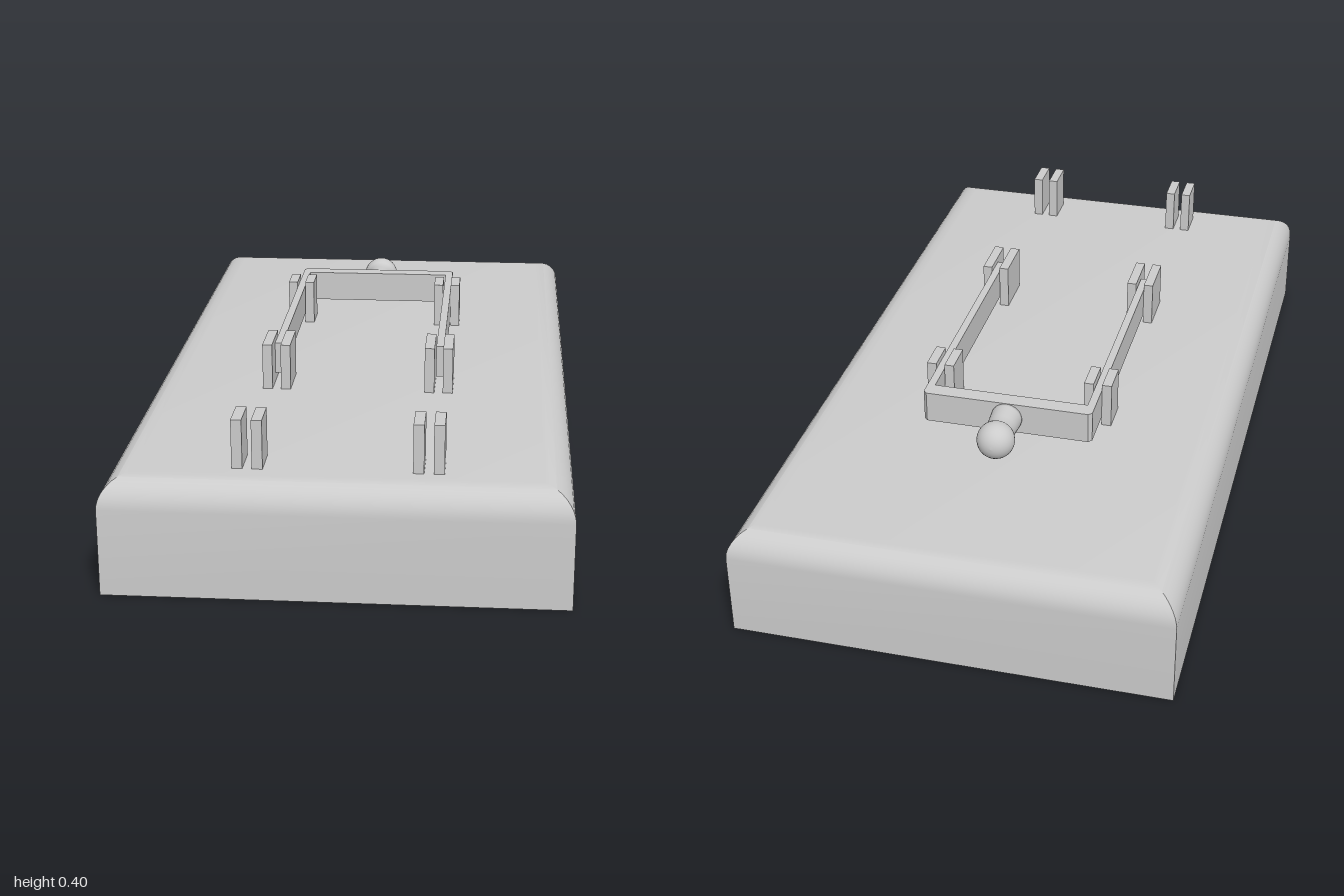
import * as THREE from 'three';
import { toCreasedNormals } from 'three/addons/utils/BufferGeometryUtils.js';

const material = new THREE.MeshStandardMaterial({ color: 0xcccccc });

function add(parent, name, geometry, x = 0, y = 0, z = 0) {
  const mesh = new THREE.Mesh(geometry, material);
  mesh.name = name;
  mesh.position.set(x, y, z);
  parent.add(mesh);
  return mesh;
}

// Rectangular slab with rounded top edges meeting in mitred corners
function slabGeometry(halfX, halfZ, height, radius, steps) {
  const rings = [[0, 0]]; // [inset, y]
  for (let i = 0; i <= steps; i++) {
    const a = (i / steps) * Math.PI / 2;
    rings.push([radius * (1 - Math.cos(a)), height - radius + radius * Math.sin(a)]);
  }
  const corners = [[-1, 1], [1, 1], [1, -1], [-1, -1]];
  const point = (ring, k) => [
    corners[k % 4][0] * (halfX - ring[0]), ring[1], corners[k % 4][1] * (halfZ - ring[0]),
  ];
  const positions = [];
  const quad = (a, b, c, d) => positions.push(...a, ...b, ...c, ...a, ...c, ...d);
  for (let i = 0; i < rings.length - 1; i++) {
    for (let k = 0; k < 4; k++) {
      quad(point(rings[i], k), point(rings[i], k + 1), point(rings[i + 1], k + 1), point(rings[i + 1], k));
    }
  }
  const top = rings[rings.length - 1];
  quad(point(top, 0), point(top, 1), point(top, 2), point(top, 3));
  quad(point(rings[0], 3), point(rings[0], 2), point(rings[0], 1), point(rings[0], 0));
  const geometry = new THREE.BufferGeometry();
  geometry.setAttribute('position', new THREE.Float32BufferAttribute(positions, 3));
  return toCreasedNormals(geometry, Math.PI / 6);
}

export function createModel() {
  const model = new THREE.Group();
  model.name = 'knifeSwitch';
  const baseTop = 0.283;

  add(model, 'base', slabGeometry(0.543, 1, baseTop, 0.072, 8));

  // Contact clips: pairs of upright plates, [name, z centre, depth]
  const clips = [['frontClip', 0.855, 0.09], ['hingeClip', 0.282, 0.126], ['rearClip', -0.283, 0.085]];
  const clipHeight = 0.12;
  for (const [name, z, depth] of clips) {
    for (const side of [-1, 1]) {
      const clip = new THREE.Group();
      clip.name = name;
      clip.position.set(side * 0.209, baseTop, z);
      for (const offset of [-0.0235, 0.0235]) {
        add(clip, 'clipPlate', new THREE.BoxGeometry(0.025, clipHeight, depth), offset, clipHeight / 2 - 0.001, 0);
      }
      model.add(clip);
    }
  }

  // Swinging U-shaped lever, two blades joined by a crossbar
  const lever = new THREE.Group();
  lever.name = 'lever';
  model.add(lever);
  const outline = [
    [-0.22, -0.28], [-0.22, 0.436], [-0.211, 0.445], [0.211, 0.445], [0.22, 0.436], [0.22, -0.28],
    [0.2, -0.28], [0.2, 0.402], [-0.2, 0.402], [-0.2, -0.28],
  ];
  const yoke = new THREE.Shape(outline.map(([x, y]) => new THREE.Vector2(x, y)));
  const yokeGeometry = new THREE.ExtrudeGeometry(yoke, { depth: 0.082, bevelEnabled: false });
  yokeGeometry.rotateX(-Math.PI / 2);
  add(lever, 'yoke', yokeGeometry, 0, 0.305, 0);

  // Handle: short neck ending in a ball
  const ball = 0.048, neck = 0.037, ballCentre = 0.115;
  const profile = [[0, 0], [0.04, 0], [0.04, 0.02], [neck, 0.06]];
  const start = Math.asin(neck / ball);
  for (let i = 0; i <= 12; i++) {
    const a = (Math.PI - start) * (1 - i / 12);
    profile.push([ball * Math.sin(a), ballCentre + ball * Math.cos(a)]);
  }
  const handleGeometry = new THREE.LatheGeometry(profile.map(([r, y]) => new THREE.Vector2(Math.max(r, 0), y)), 32);
  handleGeometry.rotateX(-Math.PI / 2);
  add(lever, 'handle', handleGeometry, 0, 0.346, -0.434);

  return model;
}
